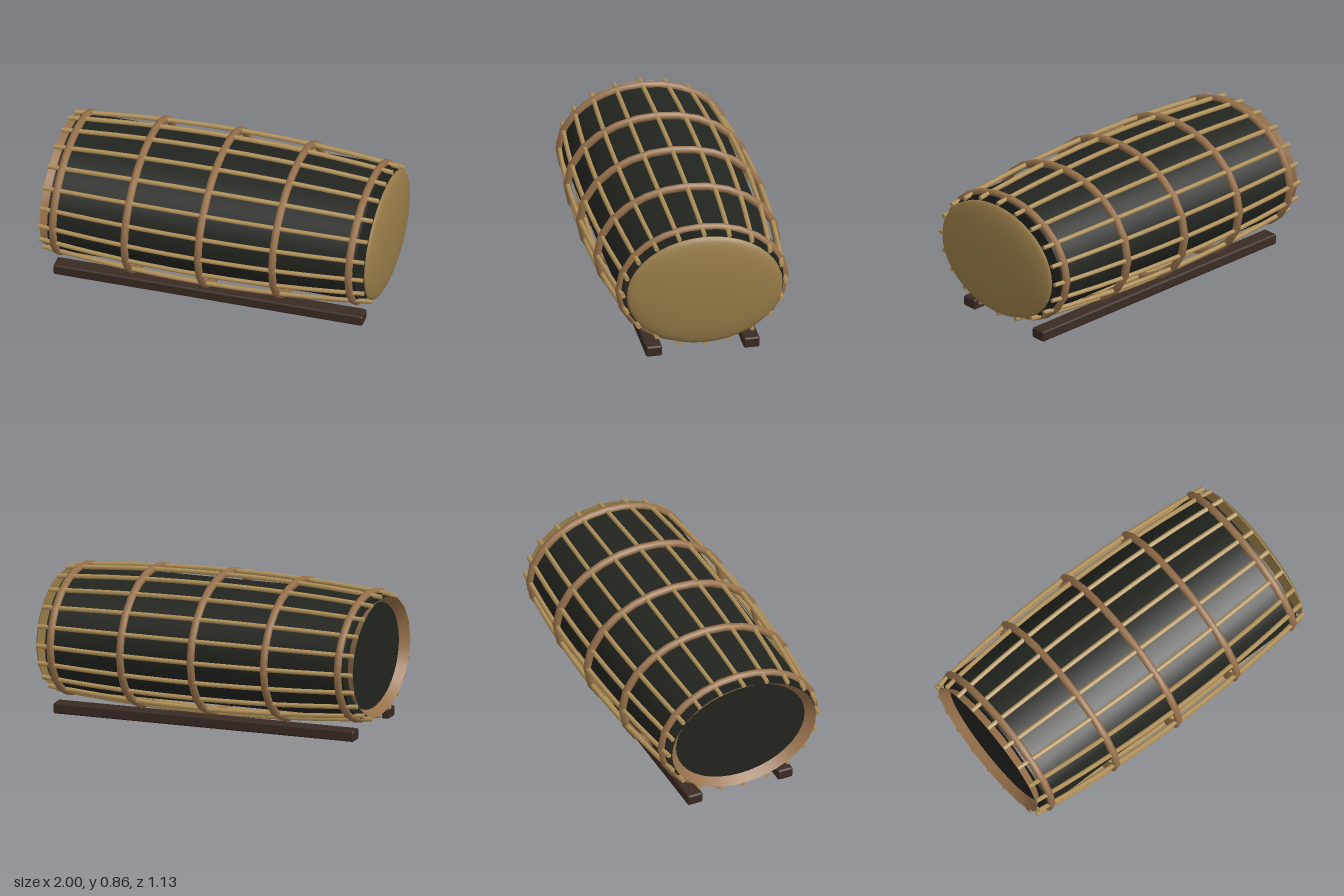
import * as THREE from 'three';
import { RoundedBoxGeometry } from 'three/addons/geometries/RoundedBoxGeometry.js';

const CY = 0.434;   // height of the drum axis
const MID = -0.03;  // widest point along the axis
const RY = 0.4, RZ = 0.54;

const mat = (color, side = THREE.FrontSide) => new THREE.MeshStandardMaterial({ color, side });

// point on the bulging elliptical cage
function cagePoint(x, angle) {
  const k = 1 - 0.12 * ((x - MID) / 0.97) ** 2;
  return new THREE.Vector3(x, CY + Math.sin(angle) * RY * k, Math.cos(angle) * RZ * k);
}

export function createModel() {
  const group = new THREE.Group();
  const add = (name, geometry, material, x = 0, y = 0, z = 0) => {
    const mesh = new THREE.Mesh(geometry, material);
    mesh.name = name;
    mesh.position.set(x, y, z);
    group.add(mesh);
    return mesh;
  };
  const shellMat = mat(0x22241f);
  const hoopMat = mat(0x96704a);
  const rodMat = mat(0xb2925a);
  const skinMat = mat(0x987c48, THREE.DoubleSide);
  const runnerMat = mat(0x3a2a24);

  // elliptical drum shell, closed at both ends
  const shell = new THREE.CylinderGeometry(1, 1, 1.84, 32);
  shell.rotateZ(-Math.PI / 2).scale(1, 0.355, 0.475);
  add('shell', shell, shellMat, MID, CY);

  // shallow domed skin standing off the right end
  const skin = new THREE.SphereGeometry(1, 40, 12, 0, Math.PI * 2, 0, Math.PI / 2);
  skin.rotateZ(-Math.PI / 2).scale(0.053, 0.342, 0.457);
  add('drumSkin', skin, skinMat, 0.942, CY);
  const back = new THREE.CircleGeometry(1, 40);
  back.rotateY(Math.PI / 2).scale(1, 0.342, 0.457);
  add('skinBack', back, skinMat, 0.942, CY);

  // open flared collar at the other end
  const collar = new THREE.CylinderGeometry(0.89, 1, 0.052, 40, 1, true);
  collar.rotateZ(-Math.PI / 2).scale(1, 0.342, 0.457);
  add('openCollar', collar, mat(0x96704a, THREE.DoubleSide), -0.974, CY);

  // five hoops
  for (const x of [-0.915, -0.475, -0.03, 0.41, 0.855]) {
    const points = [];
    for (let i = 0; i < 24; i++) points.push(cagePoint(x, (i / 24) * Math.PI * 2));
    const path = new THREE.CatmullRomCurve3(points, true);
    add('hoop', new THREE.TubeGeometry(path, 24, 0.023, 8, true), hoopMat);
  }

  // twenty bowed rods with capped ends
  for (let i = 0; i < 20; i++) {
    const angle = (i / 20) * Math.PI * 2;
    const points = [];
    for (let j = 0; j <= 8; j++) points.push(cagePoint(-1 + (1.94 * j) / 8, angle));
    const path = new THREE.CatmullRomCurve3(points);
    add('rod', new THREE.TubeGeometry(path, 12, 0.014, 6), rodMat);
    for (const [p, turn] of [[points[0], -1], [points[8], 1]]) {
      const cap = new THREE.CircleGeometry(0.014, 6).rotateY((turn * Math.PI) / 2);
      add('rodEnd', cap, rodMat, p.x, p.y, p.z);
    }
  }

  // two floor runners
  for (const side of [-1, 1]) {
    add('runner', new RoundedBoxGeometry(1.85, 0.065, 0.095, 2, 0.012), runnerMat, MID, 0.0325, side * 0.286);
  }
  return group;
}
